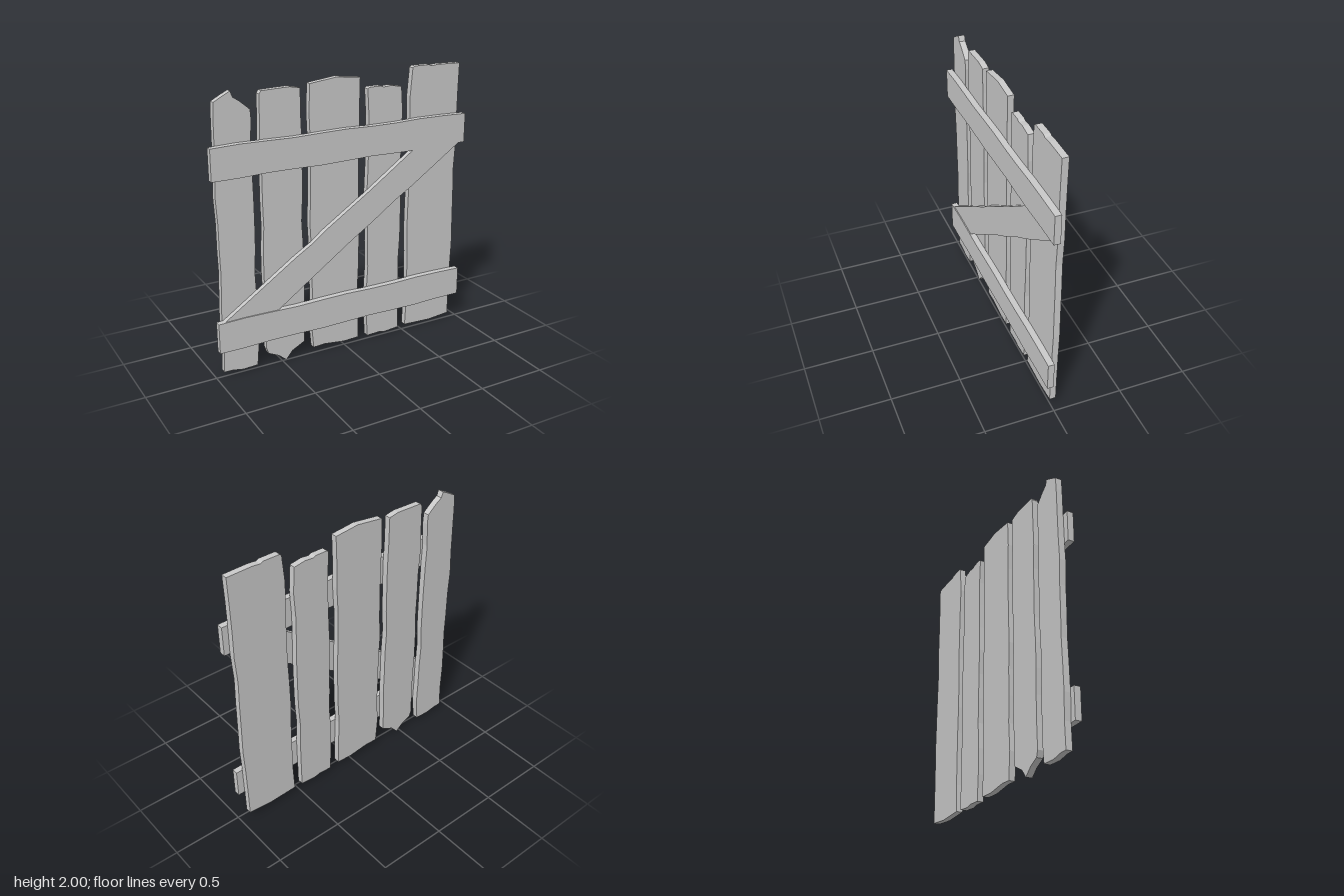
import * as THREE from 'three';

const THICK = 0.045;

// Cut a board from its outline, with its back face at z = back
function board(name, points, back, depth, material) {
  const shape = new THREE.Shape(points.map(([x, y]) => new THREE.Vector2(x, y)));
  const geometry = new THREE.ExtrudeGeometry(shape, { depth, bevelEnabled: false });
  geometry.translate(0, 0, back);
  const mesh = new THREE.Mesh(geometry, material);
  mesh.name = name;
  return mesh;
}

// Worn long edge running from y = a to y = b around a mean x
function wornEdge(x, a, b, phase) {
  return Array.from({ length: 9 }, (_, i) => {
    const y = THREE.MathUtils.lerp(a, b, (i + 1) / 10);
    return [x + 0.005 * Math.sin(7 * y + phase) + 0.003 * Math.sin(15 * y + 2 * phase), y];
  });
}

// Upright plank: broken ends (top left to right, bottom right to left) joined by worn edges
function plankOutline(left, right, top, bottom, phase) {
  return [
    ...top,
    ...wornEdge(right, top.at(-1)[1], bottom[0][1], phase),
    ...bottom,
    ...wornEdge(left, bottom.at(-1)[1], top[0][1], phase + 2),
  ];
}

// Cross rail with gently wavy long edges
function railOutline(y, height) {
  const xs = Array.from({ length: 11 }, (_, i) => -0.98 + i * 0.1957);
  const lower = xs.map((x) => [x, y + 0.004 * Math.sin(9 * x)]);
  const upper = xs.map((x) => [x, y + height + 0.004 * Math.sin(9 * x + 2)]);
  return [...lower, ...upper.reverse()];
}

export function createModel() {
  const wood = new THREE.MeshStandardMaterial({ color: 0xc8c8c8 });
  wood.name = 'light grey wood';
  const gate = new THREE.Group();
  gate.name = 'plankGate';

  const addPlank = (name, ...outline) => gate.add(board(name, plankOutline(...outline), -THICK, THICK, wood));

  // Split, pointed plank
  addPlank('plank1', -0.935, -0.68,
    [[-0.93, 1.82], [-0.925, 1.91], [-0.86, 1.945], [-0.81, 1.97], [-0.795, 1.93], [-0.75, 1.9], [-0.68, 1.84], [-0.675, 1.77]],
    [[-0.69, 0.02], [-0.8, 0.015], [-0.88, 0.03], [-0.94, 0.03]], 0);

  // Plank with a pointed foot
  addPlank('plank2', -0.617, -0.322,
    [[-0.615, 1.93], [-0.6, 1.95], [-0.4, 1.955], [-0.325, 1.94]],
    [[-0.325, 0.11], [-0.42, 0.06], [-0.47, 0], [-0.53, 0.05], [-0.605, 0.085], [-0.62, 0.13]], 4);

  // Wide middle plank
  addPlank('plank3', -0.26, 0.118,
    [[-0.255, 1.96], [-0.05, 1.985], [0.03, 1.975], [0.125, 1.965]],
    [[0.12, 0.03], [0, 0.025], [-0.16, 0.045], [-0.25, 0.04]], 2);

  // Short plank
  addPlank('plank4', 0.192, 0.465,
    [[0.185, 1.88], [0.2, 1.89], [0.29, 1.89], [0.31, 1.88], [0.37, 1.885], [0.455, 1.87]],
    [[0.465, 0.025], [0.35, 0.015], [0.3, 0.025], [0.2, 0.02]], 1);

  // Tall, wide plank
  addPlank('plank5', 0.535, 0.932,
    [[0.545, 1.99], [0.56, 2], [0.68, 2], [0.7, 1.99], [0.76, 1.995], [0.94, 1.99]],
    [[0.925, 0.035], [0.75, 0.02], [0.53, 0.03]], 3);

  // Two cross rails
  gate.add(board('lowerRail', railOutline(0.206, 0.217), 0, THICK, wood));
  gate.add(board('upperRail', railOutline(1.416, 0.217), 0, THICK, wood));

  // Diagonal brace, a little thinner than the rails
  gate.add(board('diagonalBrace', [
    [-0.935, 0.42], [-0.54, 0.42], [0.05, 0.83], [0.2, 0.925], [0.4, 1.065], [0.54, 1.15],
    [0.94, 1.42], [0.55, 1.42], [0.19, 1.17], [-0.17, 0.935], [-0.26, 0.865], [-0.4, 0.78],
  ], 0, 0.037, wood));

  return gate;
}
